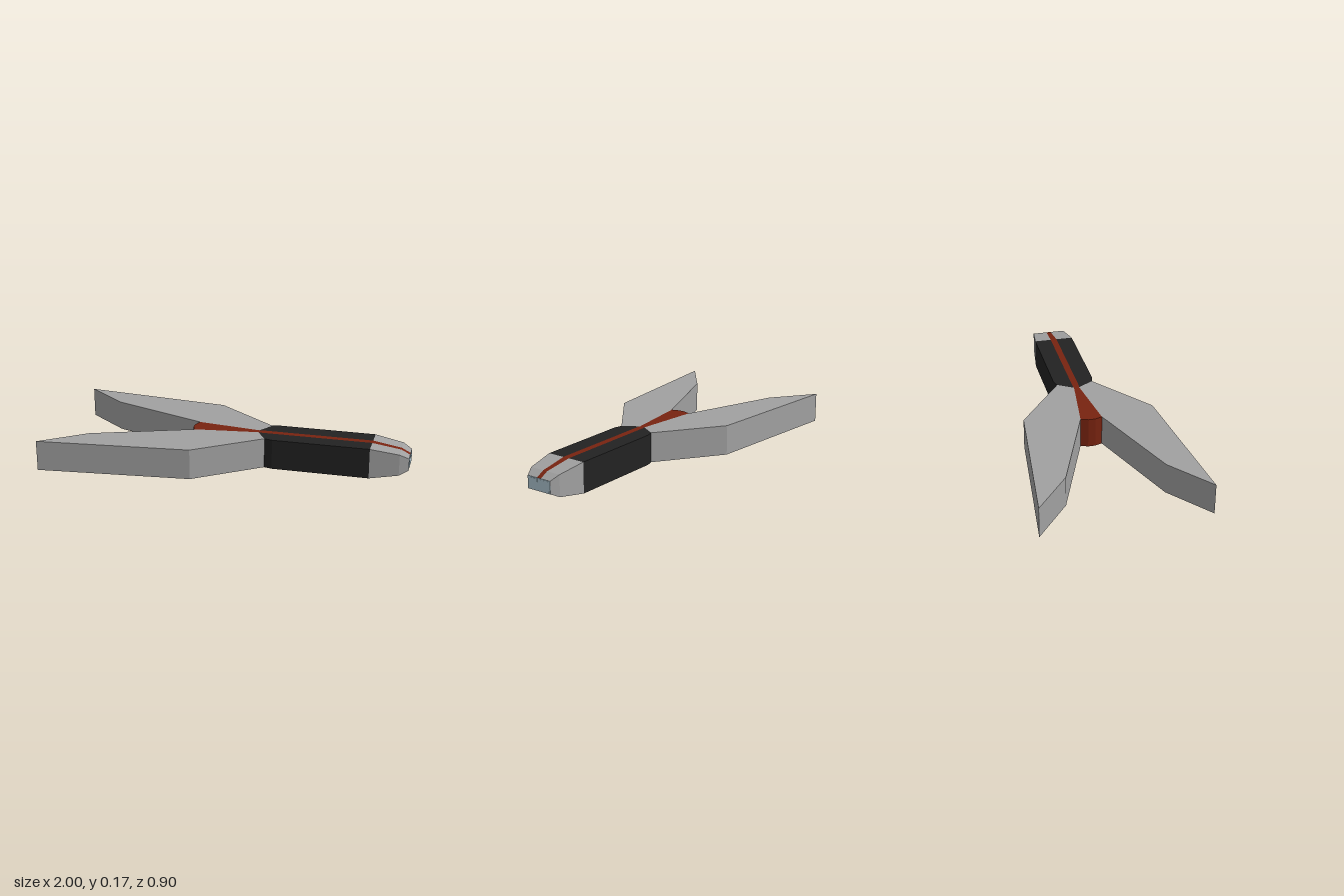
import * as THREE from 'three';

const H = 0.17;
const material = (name, color) => {
  const m = new THREE.MeshStandardMaterial({ color, flatShading: true });
  m.name = name;
  return m;
};

// Vertical slab of full height from a plan outline of [x, z] points
function slab(points) {
  const shape = new THREE.Shape(points.map(([x, z]) => new THREE.Vector2(x, -z)));
  const g = new THREE.ExtrudeGeometry(shape, { depth: H, bevelEnabled: false });
  return g.rotateX(-Math.PI / 2);
}

// Chain of rectangular sections along x: [x, yMin, yMax, zMin, zMax]
function loft(sections) {
  const pos = [], index = [];
  for (const [x, y0, y1, z0, z1] of sections) {
    pos.push(x, y0, z0, x, y1, z0, x, y1, z1, x, y0, z1);
  }
  for (let s = 0; s < sections.length - 1; s++) {
    for (let k = 0; k < 4; k++) {
      const a = s * 4 + k, b = s * 4 + (k + 1) % 4;
      index.push(a, b, b + 4, a, b + 4, a + 4);
    }
  }
  const e = (sections.length - 1) * 4;
  index.push(0, 2, 1, 0, 3, 2, e, e + 1, e + 2, e, e + 2, e + 3);
  const g = new THREE.BufferGeometry();
  g.setAttribute('position', new THREE.Float32BufferAttribute(pos, 3));
  g.setIndex(index);
  const flat = g.toNonIndexed();
  flat.computeVertexNormals();
  return flat;
}

export function createModel() {
  const group = new THREE.Group();
  const grey = material('grey hull', 0xa0a0a0);
  const black = material('black hull', 0x222222);
  const red = material('dark red', 0x782310);
  const glass = material('pale blue glass', 0xb0c8d4);
  const add = (name, geometry, mat) => {
    const mesh = new THREE.Mesh(geometry, mat);
    mesh.name = name;
    group.add(mesh);
    return mesh;
  };

  // Plan outlines of one side
  const wing = [[-1, 0.45], [-0.76, 0.263], [-0.21, 0.06], [0.15, 0.015],
    [0.175, 0.055], [0.205, 0.103], [-0.15, 0.365]];
  const hull = [[0.15, 0.015], [0.175, 0.055], [0.205, 0.103], [0.25, 0.115],
    [0.79, 0.115], [0.79, 0.018], [0.165, 0.018]];
  // Nose stations: x, inset from top and bottom, stripe half width, half width
  const nose = [[0.79, 0, 0.018, 0.115], [0.95, 0.025, 0.013, 0.095], [0.998, 0.05, 0.013, 0.075]];

  for (const [side, s] of [['left', -1], ['right', 1]]) {
    const mirror = (points) => points.map(([x, z]) => [x, z * s]);
    add(side + 'Wing', slab(mirror(wing)), grey);
    add(side + 'Hull', slab(mirror(hull)), black);
    add(side + 'Nose', loft(nose.map(([x, d, w, z]) =>
      [x, d, H - d, Math.min(w * s, z * s), Math.max(w * s, z * s)])), grey);
    // Window panes on the nose tip
    const pane = add(side + 'Window', new THREE.BoxGeometry(0.001, 0.058, 0.058), glass);
    pane.position.set(0.9995, H / 2, 0.039 * s);
  }

  // Red wedge between the wings, running on as a stripe over hull and nose
  add('spine', slab([[-0.21, 0.06], [-0.225, 0.02], [-0.225, -0.02], [-0.21, -0.06],
    [0.15, -0.015], [0.165, -0.018], [0.79, -0.018],
    [0.79, 0.018], [0.165, 0.018], [0.15, 0.015]]), red);
  add('noseStripe', loft(nose.map(([x, d, w]) => [x, d, H - d, -w, w])), red);

  // Window frame across the nose tip
  const frame = add('windowFrame', new THREE.BoxGeometry(0.001, 0.07, 0.15), glass);
  frame.position.set(0.9985, H / 2, 0);
  return group;
}
